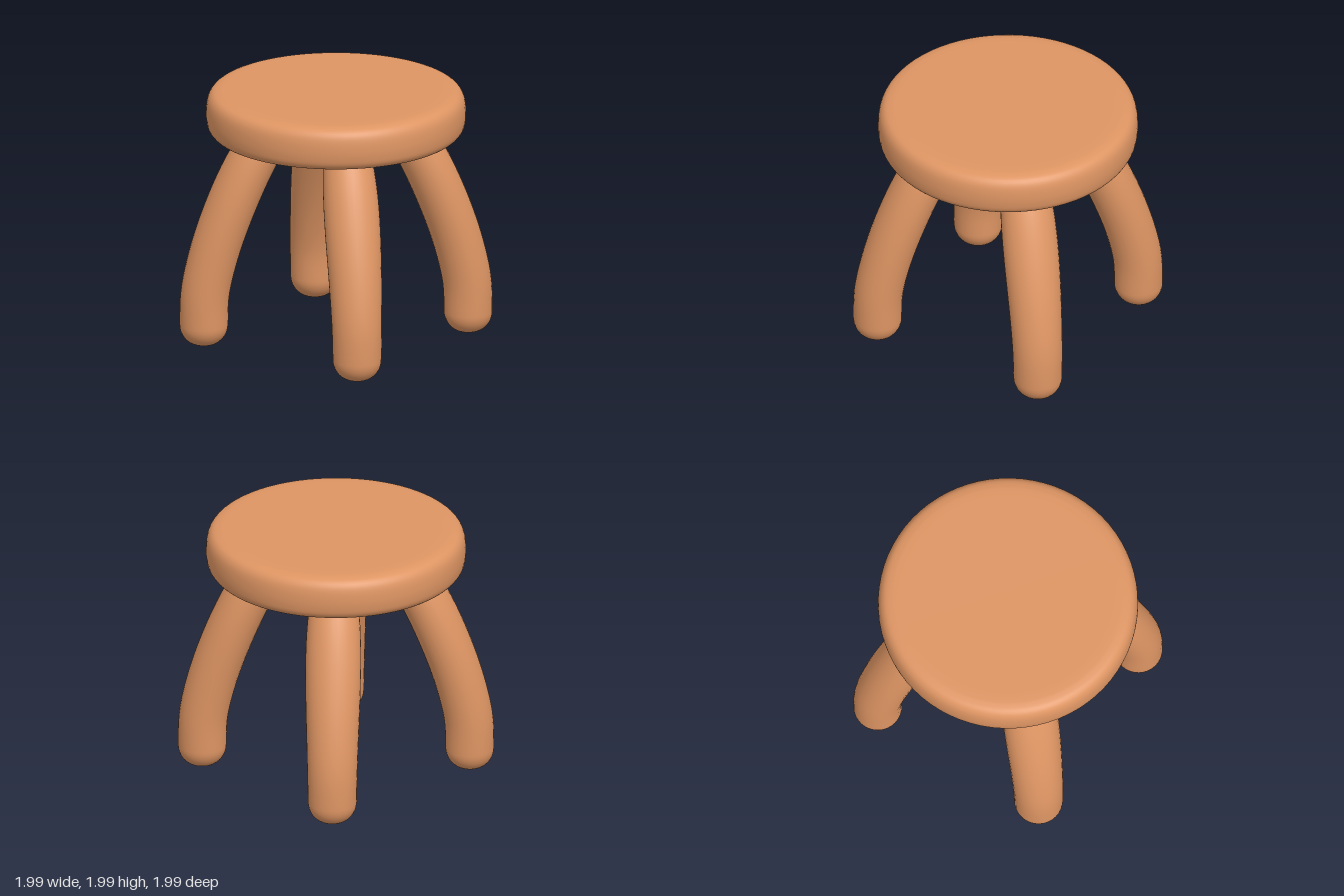
import * as THREE from 'three';
import { mergeVertices } from 'three/addons/utils/BufferGeometryUtils.js';

const v2 = (x, y) => new THREE.Vector2(x, y);
const v3 = (x, y) => new THREE.Vector3(x, y, 0);

// Weld the seam and give smooth normals
function smooth(geometry) {
  geometry.deleteAttribute('uv');
  geometry.deleteAttribute('normal');
  const welded = mergeVertices(geometry, 1e-4);
  welded.computeVertexNormals();
  return welded;
}

// Round cushion-like seat with soft rims
function seatGeometry() {
  const rim = new THREE.SplineCurve([
    v2(0.9, 1.663), v2(0.945, 1.673), v2(0.978, 1.71), v2(0.99, 1.76), v2(0.994, 1.82),
    v2(0.989, 1.89), v2(0.972, 1.945), v2(0.935, 1.982), v2(0.87, 1.997),
  ]).getPoints(24);
  const profile = [v2(0, 1.661), v2(0.8, 1.661), ...rim, v2(0.8, 2), v2(0, 2)];
  return smooth(new THREE.LatheGeometry(profile, 72));
}

// Leg: a lathed rod with a round foot, bent along a curve and broadened above the middle
function legGeometry() {
  const path = new THREE.CatmullRomCurve3([
    v3(1.018, 0.006), v3(1.022, 0.2), v3(1.012, 0.42), v3(0.952, 0.7),
    v3(0.848, 1.02), v3(0.695, 1.38), v3(0.54, 1.66), v3(0.47, 1.78),
  ]);
  const length = path.getLength();
  const profile = [v2(0, 0), v2(0.04, 0.001)];
  for (let i = 1; i <= 10; i++) {
    const a = (i / 10) * Math.PI / 2;
    profile.push(v2(0.04 + 0.146 * Math.sin(a), 0.16 * (1 - Math.cos(a))));
  }
  for (let i = 1; i <= 30; i++) {
    const t = i / 30;
    profile.push(v2(0.186 + 0.008 * t - 0.035 * t ** 6, 0.16 + (length - 0.16) * t));
  }
  const geometry = new THREE.LatheGeometry(profile, 32);
  const pos = geometry.attributes.position;
  for (let i = 0; i < pos.count; i++) {
    const u = Math.min(1, pos.getY(i) / length);
    const centre = path.getPointAt(u);
    const dir = path.getTangentAt(u);
    const r = pos.getX(i);
    const broad = 1 + 0.13 * Math.sin(Math.PI * u ** 1.8);
    pos.setXYZ(i, centre.x + r * dir.y, centre.y - r * dir.x, pos.getZ(i) * broad);
  }
  return smooth(geometry);
}

export function createModel() {
  const wood = new THREE.MeshStandardMaterial({ color: 0xde9563 });
  wood.name = 'warm wood';
  const stool = new THREE.Group();
  stool.name = 'stool';

  const seat = new THREE.Mesh(seatGeometry(), wood);
  seat.name = 'seat';
  stool.add(seat);

  // Four legs on the diagonals
  const geometry = legGeometry();
  ['backLeftLeg', 'backRightLeg', 'frontRightLeg', 'frontLeftLeg'].forEach((name, i) => {
    const leg = new THREE.Mesh(geometry, wood);
    leg.name = name;
    leg.rotation.y = Math.PI / 4 + i * Math.PI / 2;
    stool.add(leg);
  });
  return stool;
}
